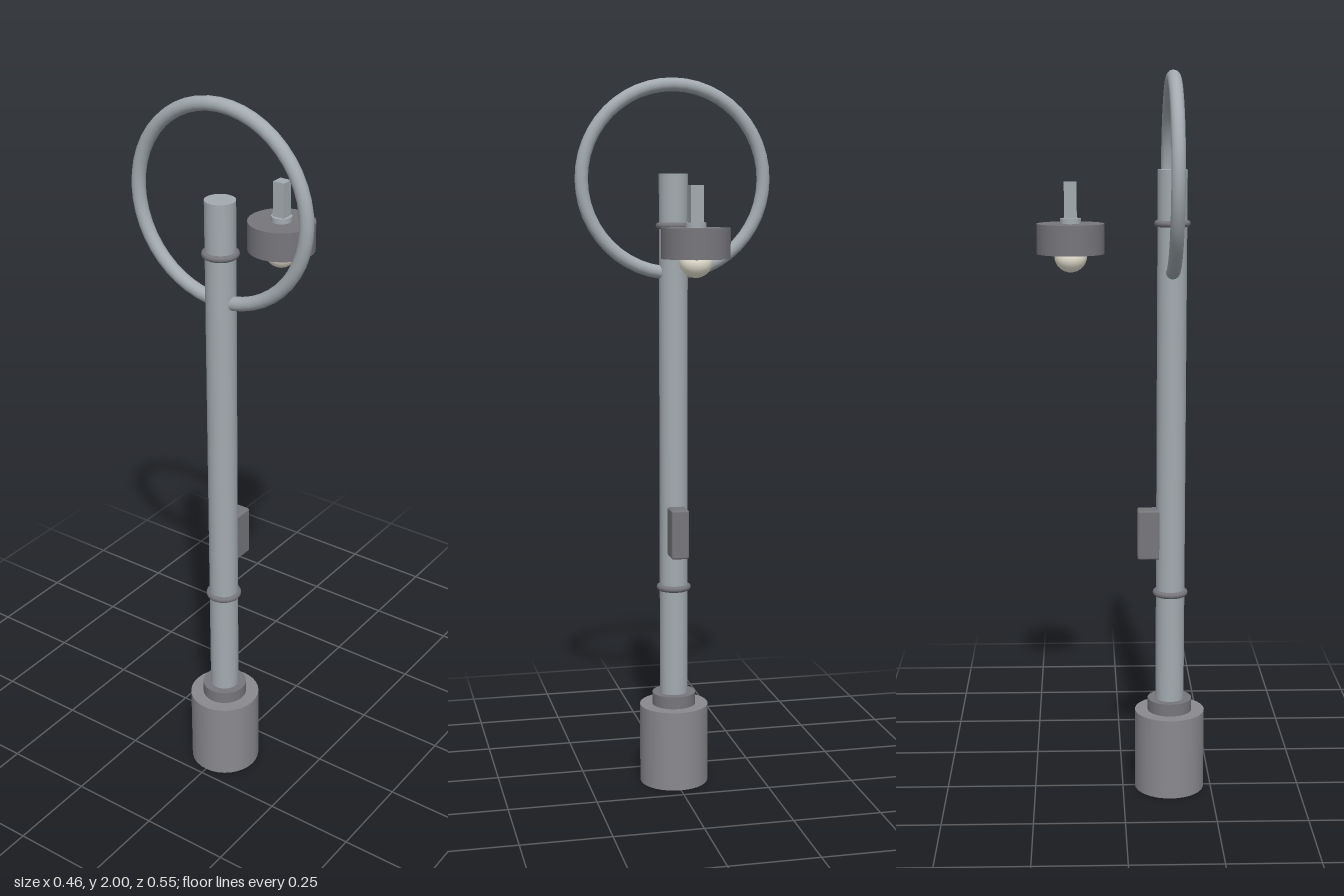
import * as THREE from 'three';
import { RoundedBoxGeometry } from 'three/addons/geometries/RoundedBoxGeometry.js';

const POLE_X = -0.132;
const LAMP_X = 0.14;

const steel = new THREE.MeshStandardMaterial({ color: 0xa3abb0 });
const iron = new THREE.MeshStandardMaterial({ color: 0x8a898e });
const darkIron = new THREE.MeshStandardMaterial({ color: 0x77767b });
const glass = new THREE.MeshStandardMaterial({ color: 0xf3eedd });

export function createModel() {
  const group = new THREE.Group();

  function add(parent, name, geometry, material, x, y) {
    const mesh = new THREE.Mesh(geometry, material);
    mesh.name = name;
    mesh.position.set(x, y, 0);
    parent.add(mesh);
    return mesh;
  }

  // Upright cylinder given by its bottom and top heights
  function column(parent, name, radius, bottom, top, material, x) {
    const geometry = new THREE.CylinderGeometry(radius, radius, top - bottom, 32);
    return add(parent, name, geometry, material, x, (bottom + top) / 2);
  }

  // Post: base, collar and pole
  const post = new THREE.Group();
  post.name = 'post';
  group.add(post);
  column(post, 'base', 0.098, 0, 0.23, iron, POLE_X);
  column(post, 'collar', 0.062, 0.23, 0.265, darkIron, POLE_X);
  column(post, 'pole', 0.04, 0.265, 1.742, steel, POLE_X);

  // Rounded bands around the pole
  for (const [name, y] of [['lowerBand', 0.576], ['upperBand', 1.6]]) {
    const band = add(post, name, new THREE.TorusGeometry(0.04, 0.009, 10, 32), darkIron, POLE_X, y);
    band.rotation.x = Math.PI / 2;
  }

  // Control box on the left side of the pole
  add(post, 'controlBox', new RoundedBoxGeometry(0.062, 0.14, 0.05, 3, 0.006), darkIron, -0.071, 0.745);

  // Large hoop standing in the side plane
  const hoop = add(group, 'hoop', new THREE.TorusGeometry(0.256, 0.0185, 14, 48), steel, POLE_X, 1.7255);
  hoop.rotation.y = Math.PI / 2;

  // Hanging lamp: stem, cap, shade and bulb
  const lamp = new THREE.Group();
  lamp.name = 'lamp';
  group.add(lamp);
  add(lamp, 'lampStem', new THREE.BoxGeometry(0.034, 0.105, 0.034), steel, LAMP_X, 1.6575);
  column(lamp, 'lampCap', 0.028, 1.6, 1.614, steel, LAMP_X);
  column(lamp, 'lampShade', 0.091, 1.52, 1.6, darkIron, LAMP_X);
  add(lamp, 'bulb', new THREE.SphereGeometry(0.044, 24, 16), glass, LAMP_X, 1.514);

  return group;
}
